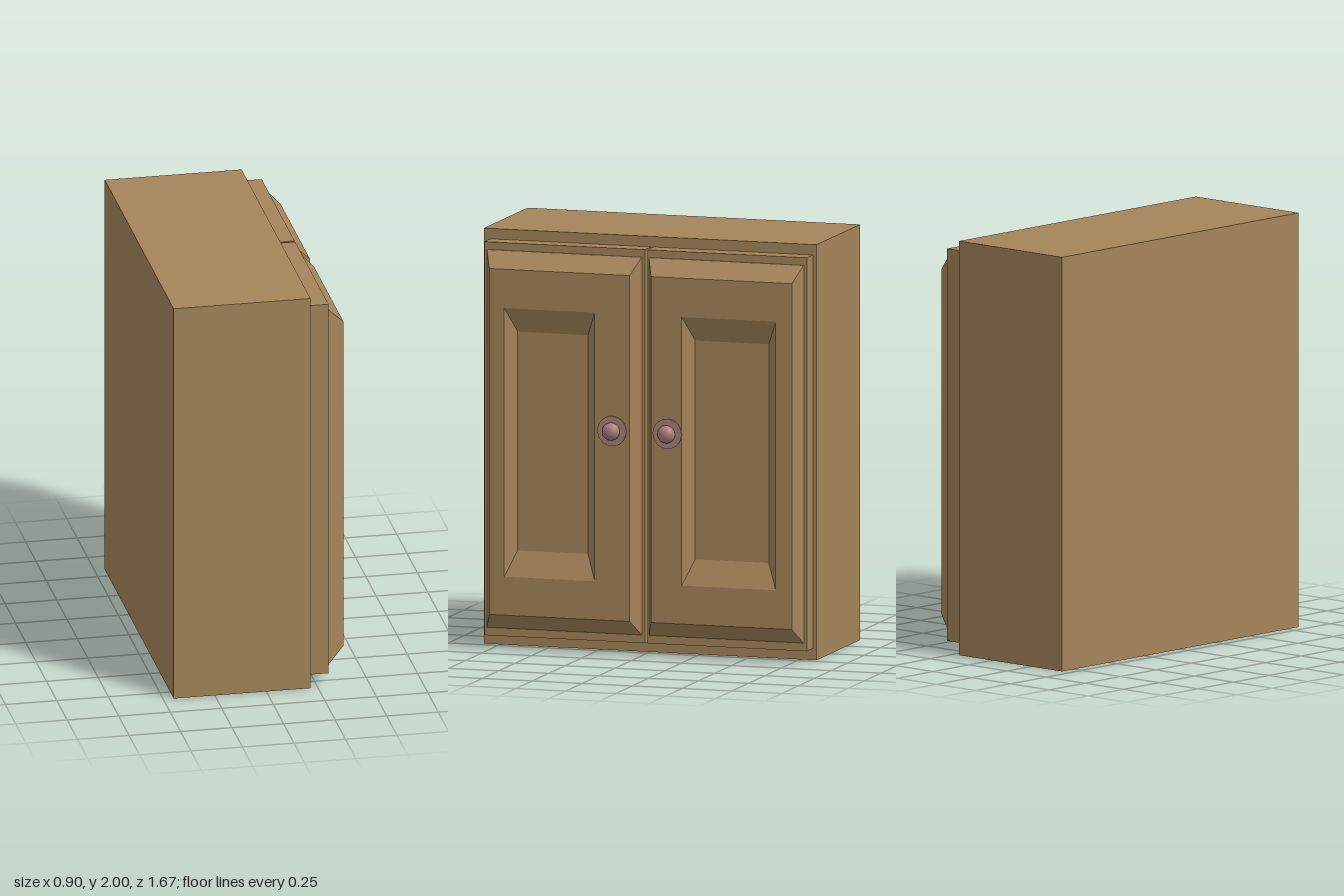
import * as THREE from 'three';

const wood = new THREE.MeshStandardMaterial({ color: 0xa5855a, flatShading: true });
const metal = new THREE.MeshStandardMaterial({ color: 0xa87f76 });

// Box given by its minimum and maximum corners
function block(name, [x0, y0, z0], [x1, y1, z1]) {
  const mesh = new THREE.Mesh(new THREE.BoxGeometry(x1 - x0, y1 - y0, z1 - z0), wood);
  mesh.position.set((x0 + x1) / 2, (y0 + y1) / 2, (z0 + z1) / 2);
  mesh.name = name;
  return mesh;
}

// Surface stepping through nested rectangles [x, y0, y1, z0, z1], closed by the last one
function nestedPanel(rings) {
  const pos = [];
  const corners = rings.map(([x, y0, y1, z0, z1]) => [[x, y0, z1], [x, y0, z0], [x, y1, z0], [x, y1, z1]]);
  const quad = (a, b, c, d) => pos.push(...a, ...b, ...c, ...a, ...c, ...d);
  for (let r = 0; r + 1 < corners.length; r++) {
    const outer = corners[r], inner = corners[r + 1];
    for (let i = 0; i < 4; i++) {
      const j = (i + 1) % 4;
      quad(outer[i], outer[j], inner[j], inner[i]);
    }
  }
  quad(...corners[corners.length - 1]);
  const geo = new THREE.BufferGeometry();
  geo.setAttribute('position', new THREE.Float32BufferAttribute(pos, 3));
  geo.computeVertexNormals();
  return geo;
}

// Knob with its round back plate, pointing along +x
function makeKnob(z) {
  const knob = new THREE.Group();
  knob.name = 'knob';
  const plate = new THREE.Mesh(new THREE.CylinderGeometry(0.072, 0.072, 0.006, 32), metal);
  plate.name = 'knobPlate';
  plate.position.y = 0.006;
  const ball = new THREE.Mesh(new THREE.SphereGeometry(0.043, 28, 18), metal);
  ball.name = 'knobBall';
  ball.scale.y = 0.8;
  ball.position.y = 0.023;
  knob.add(plate, ball);
  knob.rotation.z = -Math.PI / 2;
  knob.position.set(0.39, 1.083, z);
  return knob;
}

// Door: flat slab, bevelled raised panel with a sunken centre, knob
function makeDoor(name, d) {
  const door = new THREE.Group();
  door.name = name;
  door.add(block('doorSlab', [0.217, 0.056, d.slab[0]], [0.308, 1.95, d.slab[1]]));
  const panel = new THREE.Mesh(nestedPanel([
    [0.305, 0.095, 1.913, ...d.base],
    [0.312, 0.095, 1.913, ...d.base],
    [0.39, 0.17, 1.835, ...d.face],
    [0.39, 0.355, 1.648, ...d.rim],
    [0.34, 0.477, 1.53, ...d.floor],
  ]), wood);
  panel.name = 'doorPanel';
  door.add(panel, makeKnob(d.knob));
  return door;
}

export function createModel() {
  const model = new THREE.Group();
  model.name = 'cabinet';
  model.add(block('cabinetBody', [-0.45, 0, -0.833], [0.214, 2, 0.833]));

  // z ranges of each door's parts
  model.add(makeDoor('doorFrontSide', {
    slab: [-0.006, 0.8], base: [0.01, 0.785], face: [0.045, 0.748],
    rim: [0.22, 0.673], floor: [0.27, 0.622], knob: 0.132,
  }));
  model.add(makeDoor('doorBackSide', {
    slab: [-0.815, -0.018], base: [-0.8, -0.026], face: [-0.767, -0.062],
    rim: [-0.686, -0.215], floor: [-0.636, -0.267], knob: -0.145,
  }));
  return model;
}
